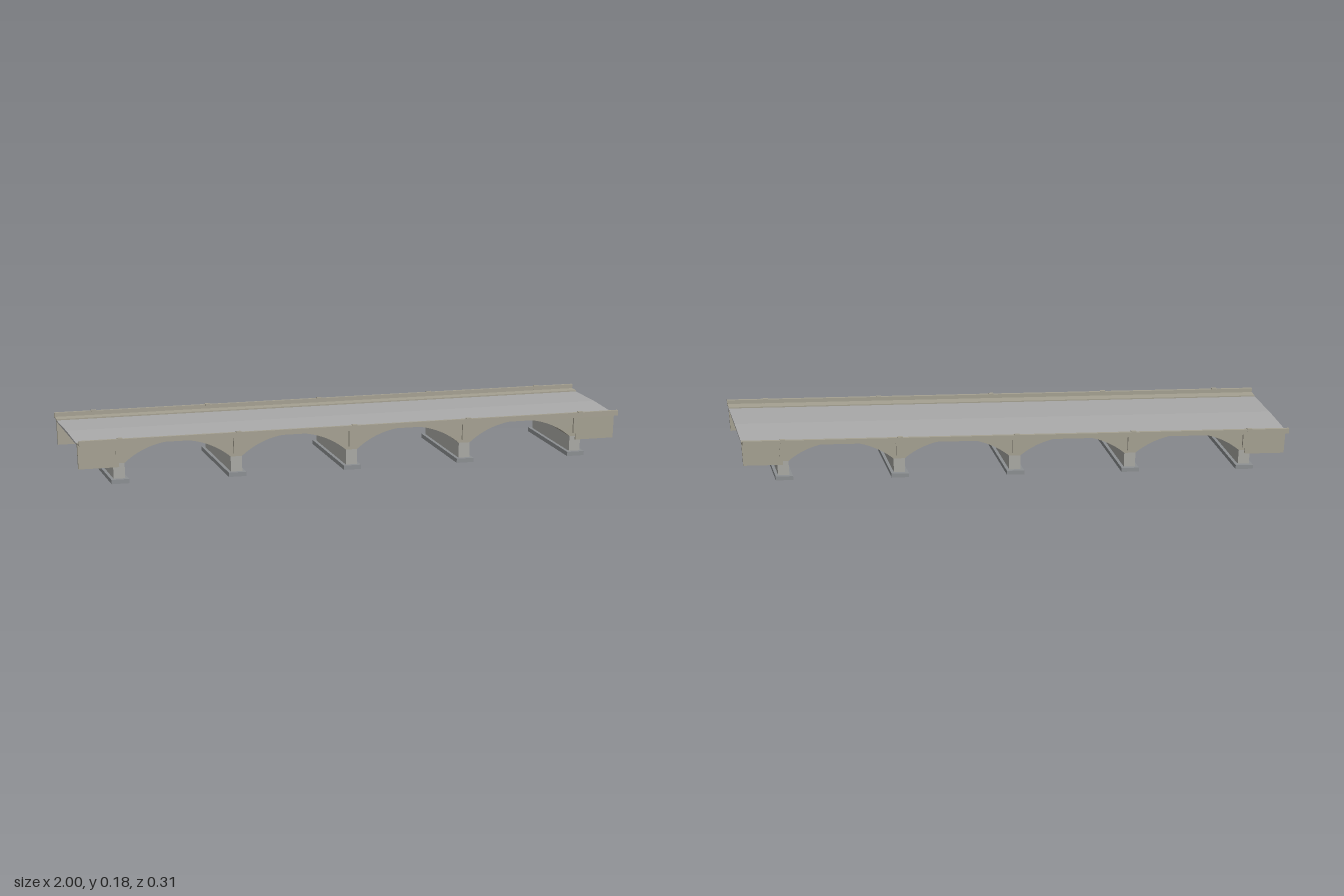
import * as THREE from 'three';
import { toCreasedNormals } from 'three/addons/utils/BufferGeometryUtils.js';

const SKEW = 0.267;          // sideways shift in x per unit of z
const HALF = 0.96;           // half length along the road
const SPAN = 0.41;           // pier spacing
const PIERS = [-2, -1, 0, 1, 2].map(i => i * SPAN);

export function createModel() {
  const bridge = new THREE.Group();
  bridge.name = 'skewArchBridge';
  const masonry = new THREE.MeshStandardMaterial({ color: 0xa5a192 });
  const stone = new THREE.MeshStandardMaterial({ color: 0xa9a9a4 });
  const footingGrey = new THREE.MeshStandardMaterial({ color: 0x8c8f92 });
  const asphalt = new THREE.MeshStandardMaterial({ color: 0xaaaaaa });

  // shear every part so the whole bridge is a parallelogram in plan
  const shear = new THREE.Matrix4().set(1, 0, SKEW, 0, 0, 1, 0, 0, 0, 0, 1, 0, 0, 0, 0, 1);
  const add = (name, geometry, material) => {
    const mesh = new THREE.Mesh(geometry.applyMatrix4(shear), material);
    mesh.name = name;
    bridge.add(mesh);
  };
  // box given by its limits
  const box = (name, material, x0, x1, y0, y1, z0, z1) => add(name,
    new THREE.BoxGeometry(x1 - x0, y1 - y0, Math.abs(z1 - z0))
      .translate((x0 + x1) / 2, (y0 + y1) / 2, (z0 + z1) / 2), material);
  // cross-section of [z, y] points run along the road
  const runAlongRoad = (name, material, points) => {
    const shape = new THREE.Shape(points.map(([z, y]) => new THREE.Vector2(-z, y)));
    add(name, new THREE.ExtrudeGeometry(shape, { depth: 2 * HALF, bevelEnabled: false })
      .translate(0, 0, -HALF).rotateY(Math.PI / 2), material);
  };

  // arch body: four segmental arches cut from one solid
  const stem = 0.02, spring = 0.073, crown = 0.146, top = 0.15;
  const a = SPAN / 2 - stem, rise = crown - spring;
  const radius = (a * a + rise * rise) / (2 * rise);
  const end = 2 * SPAN + stem;
  const body = new THREE.Shape();
  body.moveTo(end, top);
  body.lineTo(-end, top);
  body.lineTo(-end, spring);
  const steps = 28, sweep = Math.asin(a / radius);
  for (let i = 0; i < 4; i++) {
    const cx = (i - 1.5) * SPAN;
    for (let s = 0; s <= steps; s++) {
      const t = (s / steps * 2 - 1) * sweep;
      body.lineTo(cx + radius * Math.sin(t), crown - radius + radius * Math.cos(t));
    }
  }
  body.lineTo(end, spring);
  body.closePath();
  add('archBody', toCreasedNormals(
    new THREE.ExtrudeGeometry(body, { depth: 0.25, bevelEnabled: false }).translate(0, 0, -0.125), 0.4), masonry);

  // piers with footings
  for (const x of PIERS) {
    box('pierStem', stone, x - stem, x + stem, 0.014, spring, -0.125, 0.125);
    box('footing', footingGrey, x - 0.031, x + 0.031, 0, 0.016, -0.135, 0.135);
  }

  // cambered road deck
  runAlongRoad('roadDeck', asphalt,
    [[-0.124, 0.148], [0.124, 0.148], [0.124, 0.153], [0, 0.157], [-0.124, 0.153]]);

  for (const s of [-1, 1]) {
    // walkway slab with upstand parapet
    runAlongRoad('parapet', masonry, [[0.121, 0.154], [0.154, 0.154], [0.154, 0.173],
      [0.147, 0.173], [0.147, 0.158], [0.121, 0.158]].map(([z, y]) => [s * z, y]));
    // ledge between spandrel wall and walkway slab
    box('ledge', masonry, -HALF, HALF, 0.149, 0.1545, s * 0.122, s * 0.13);
    // wing walls at both ends
    for (const e of [-1, 1]) {
      const x0 = e < 0 ? -HALF : end - 0.02, x1 = e < 0 ? 0.02 - end : HALF;
      box('wingWall', masonry, x0, x1, 0.06, 0.152, s * 0.122, s * 0.129);
    }
    // pilasters and parapet posts over each pier
    for (const x of PIERS) {
      box('pilaster', masonry, x - 0.01, x + 0.01, 0.085, 0.152, s * 0.124, s * 0.131);
      box('parapetPost', masonry, x - 0.009, x + 0.009, 0.158, 0.176, s * 0.1465, s * 0.1543);
    }
  }
  return bridge;
}
